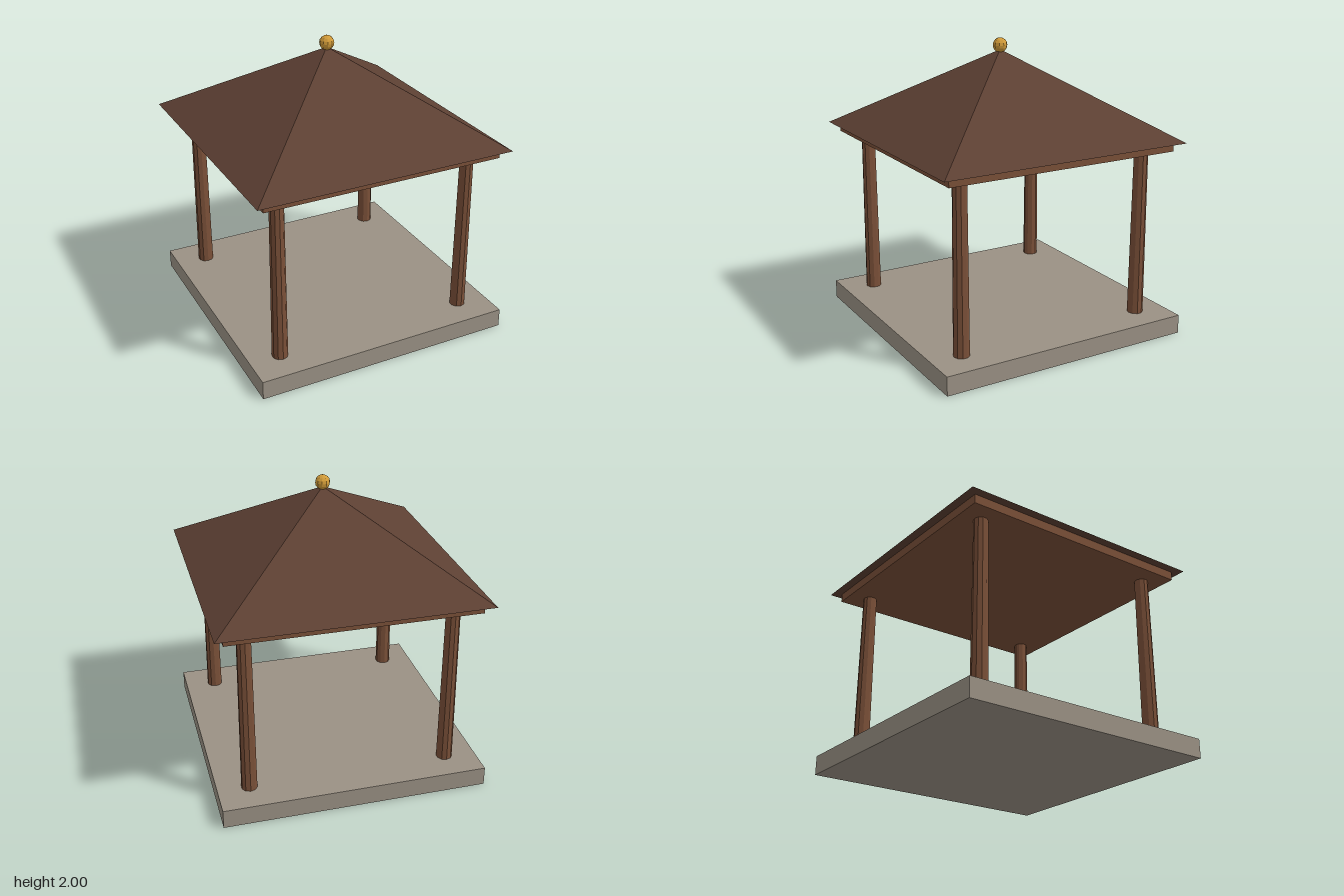
import * as THREE from 'three';

const material = (color) => new THREE.MeshStandardMaterial({ color, flatShading: true });

export function createModel() {
  const group = new THREE.Group();
  const stone = material(0x9a9184);
  const wood = material(0x7a5038);
  const shingle = material(0x5d4033);
  const brass = material(0xd09a38);

  const add = (name, geometry, mat, x, y, z) => {
    const mesh = new THREE.Mesh(geometry, mat);
    mesh.name = name;
    mesh.position.set(x, y, z);
    group.add(mesh);
    return mesh;
  };

  // Stone floor slab
  add('floorSlab', new THREE.BoxGeometry(1.8, 0.13, 1.8), stone, 0, 0.065, 0);

  // Four slightly tapered corner posts
  const post = new THREE.CylinderGeometry(0.047, 0.054, 1.16, 10);
  for (const x of [-1, 1]) {
    for (const z of [-1, 1]) {
      const side = (z > 0 ? 'front' : 'back') + (x > 0 ? 'Left' : 'Right');
      add(side + 'Post', post, wood, x * 0.685, 0.71, z * 0.685);
    }
  }

  // Flat ceiling plate resting on the posts
  add('ceilingPlate', new THREE.BoxGeometry(1.67, 0.06, 1.67), wood, 0, 1.32, 0);

  // Square pyramid roof
  const roof = new THREE.ConeGeometry(0.895 * Math.SQRT2, 0.57, 4);
  roof.rotateY(Math.PI / 4);
  add('roof', roof, shingle, 0, 1.635, 0);

  // Ball finial
  add('finial', new THREE.SphereGeometry(0.05, 10, 8), brass, 0, 1.95, 0);

  return group;
}
